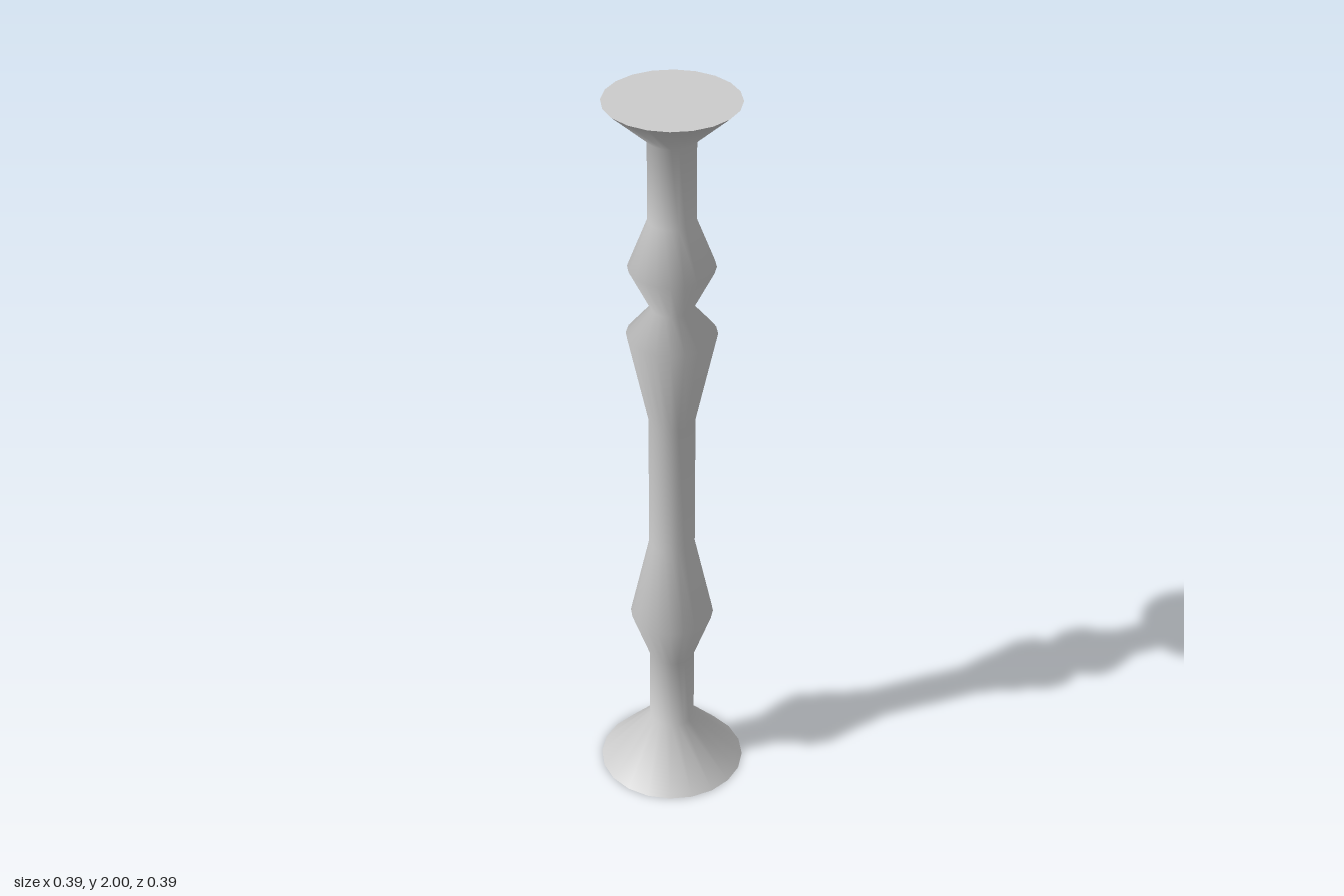
import * as THREE from 'three';

const SIDES = 20;

// Turned outline as [radius, height], from the foot up
const PROFILE = [
  [0.195, 0], [0.06, 0.145],                // flared foot
  [0.06, 0.36], [0.11, 0.5], [0.06, 0.73],  // lower bulge
  [0.06, 1.11], [0.115, 1.365],             // upper taper
  [0.053, 1.44], [0.11, 1.555], [0.06, 1.685], // pinch and upper knop
  [0.06, 1.9], [0.169, 2],                  // flared top
];

export function createModel() {
  const model = new THREE.Group();
  model.name = 'turnedColumn';
  const material = new THREE.MeshStandardMaterial({ color: 0xcccccc });

  // Column body, smooth along and around the profile
  const points = PROFILE.map(([r, y]) => new THREE.Vector2(r, y));
  const column = new THREE.Mesh(new THREE.LatheGeometry(points, SIDES), material);
  column.name = 'column';
  model.add(column);

  // Flat discs closing both ends; facing is +1 for up, -1 for down
  const addCap = (name, [radius, y], facing) => {
    const cap = new THREE.Mesh(new THREE.CircleGeometry(radius, SIDES), material);
    cap.name = name;
    cap.rotation.x = -facing * Math.PI / 2;
    cap.position.y = y;
    model.add(cap);
  };
  addCap('bottomCap', PROFILE[0], -1);
  addCap('topCap', PROFILE[PROFILE.length - 1], 1);

  return model;
}
